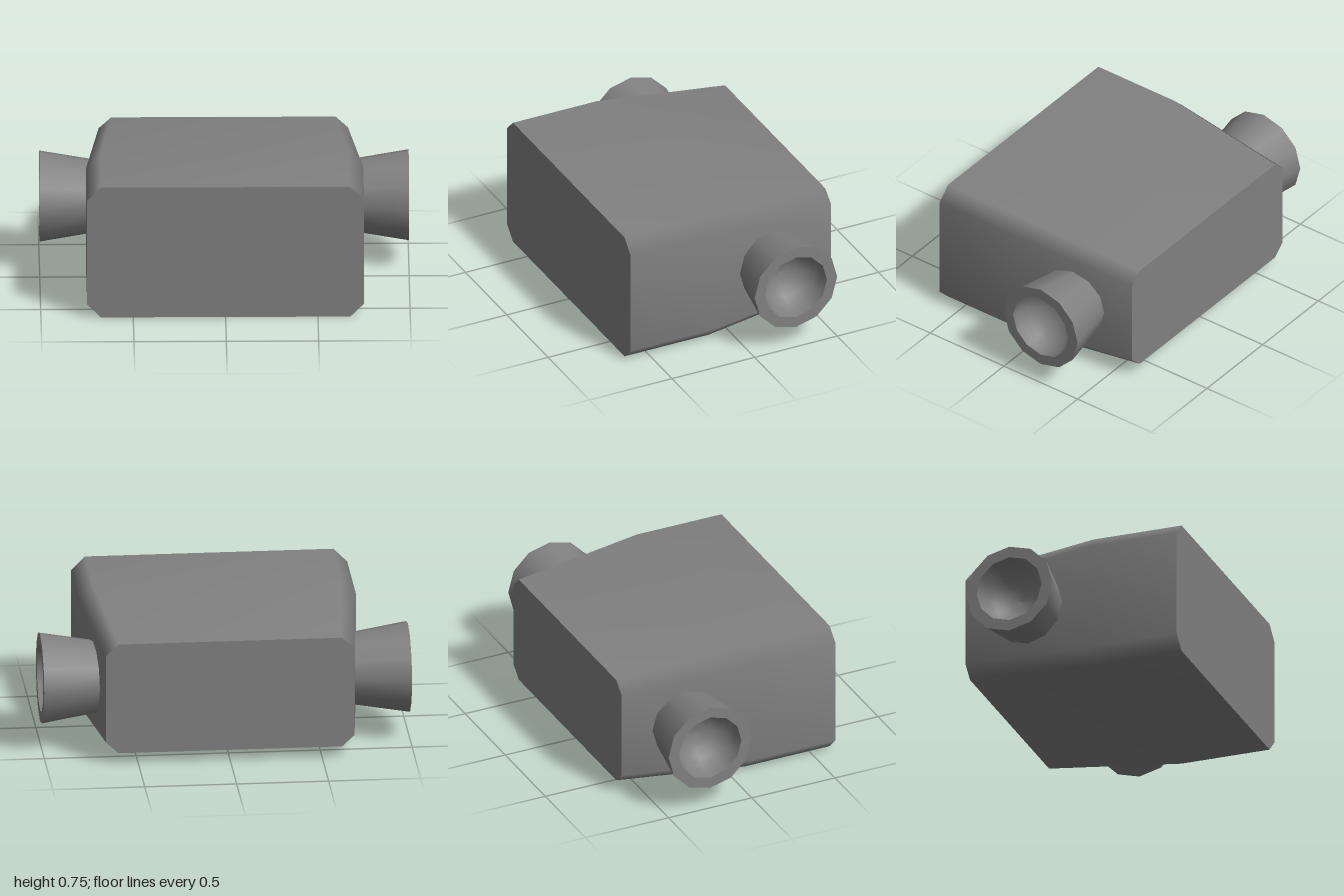
import * as THREE from 'three';

const metal = new THREE.MeshStandardMaterial({ color: 0x808080 });
metal.name = 'grey metal';

// Chamfered rectangle, counter-clockwise seen from the front, centred on y = 0.375
function section(z, w, h) {
  const cx = w * 0.9, cy = h * 0.8;
  return [[w, -cy], [w, cy], [cx, h], [-cx, h], [-w, cy], [-w, -cy], [-cx, -h], [cx, -h]]
    .map(([x, y]) => [x, y + 0.375, z]);
}

function geometryFrom(rings, index) {
  const geo = new THREE.BufferGeometry();
  geo.setAttribute('position', new THREE.Float32BufferAttribute(rings.flat(2), 3));
  geo.setIndex(index);
  geo.computeVertexNormals();
  return geo;
}

function createBody() {
  const body = new THREE.Group();
  body.name = 'body';
  const front = section(0.625, 0.75, 0.375);
  const bend = section(0.115, 0.75, 0.375);
  const back = section(-0.625, 0.675, 0.3125);

  // Smooth shell, tapering towards the back
  const index = [];
  for (let r = 0; r < 2; r++) {
    for (let i = 0; i < 8; i++) {
      const a = r * 8 + i, b = r * 8 + (i + 1) % 8;
      index.push(a, a + 8, b, b, a + 8, b + 8);
    }
  }
  const shell = new THREE.Mesh(geometryFrom([front, bend, back], index), metal);
  shell.name = 'shell';
  body.add(shell);

  // Flat end plates
  for (const [name, ring] of [['frontPlate', front], ['backPlate', [...back].reverse()]]) {
    const fan = [];
    for (let i = 1; i < 7; i++) fan.push(0, i, i + 1);
    const plate = new THREE.Mesh(geometryFrom([ring], fan), metal);
    plate.name = name;
    body.add(plate);
  }
  return body;
}

// Flared twelve-sided nozzle with a rounded hollow, pointing along +x
function createNozzle(name) {
  const nozzle = new THREE.Group();
  nozzle.name = name;
  const bowl = [];
  for (let i = 0; i <= 6; i++) {
    const a = (i / 6) * Math.PI / 2;
    bowl.push([i === 6 ? 0 : 0.1875 * Math.cos(a), 1 - 0.1875 * Math.sin(a)]);
  }
  const profiles = {
    flare: [[0.183, 0.6], [0.25, 1]],
    rim: [[0.25, 1], [0.1875, 1]],
    hollow: bowl,
  };
  for (const [part, points] of Object.entries(profiles)) {
    const geo = new THREE.LatheGeometry(points.map(p => new THREE.Vector2(...p)), 12);
    geo.rotateZ(-Math.PI / 2);
    const mesh = new THREE.Mesh(geo, metal);
    mesh.name = part;
    nozzle.add(mesh);
  }
  nozzle.position.set(0, 0.375, -0.25);
  return nozzle;
}

export function createModel() {
  const model = new THREE.Group();
  model.name = 'thruster block';
  const left = createNozzle('leftNozzle');
  const right = createNozzle('rightNozzle');
  right.rotation.y = Math.PI;
  model.add(createBody(), left, right);
  return model;
}
